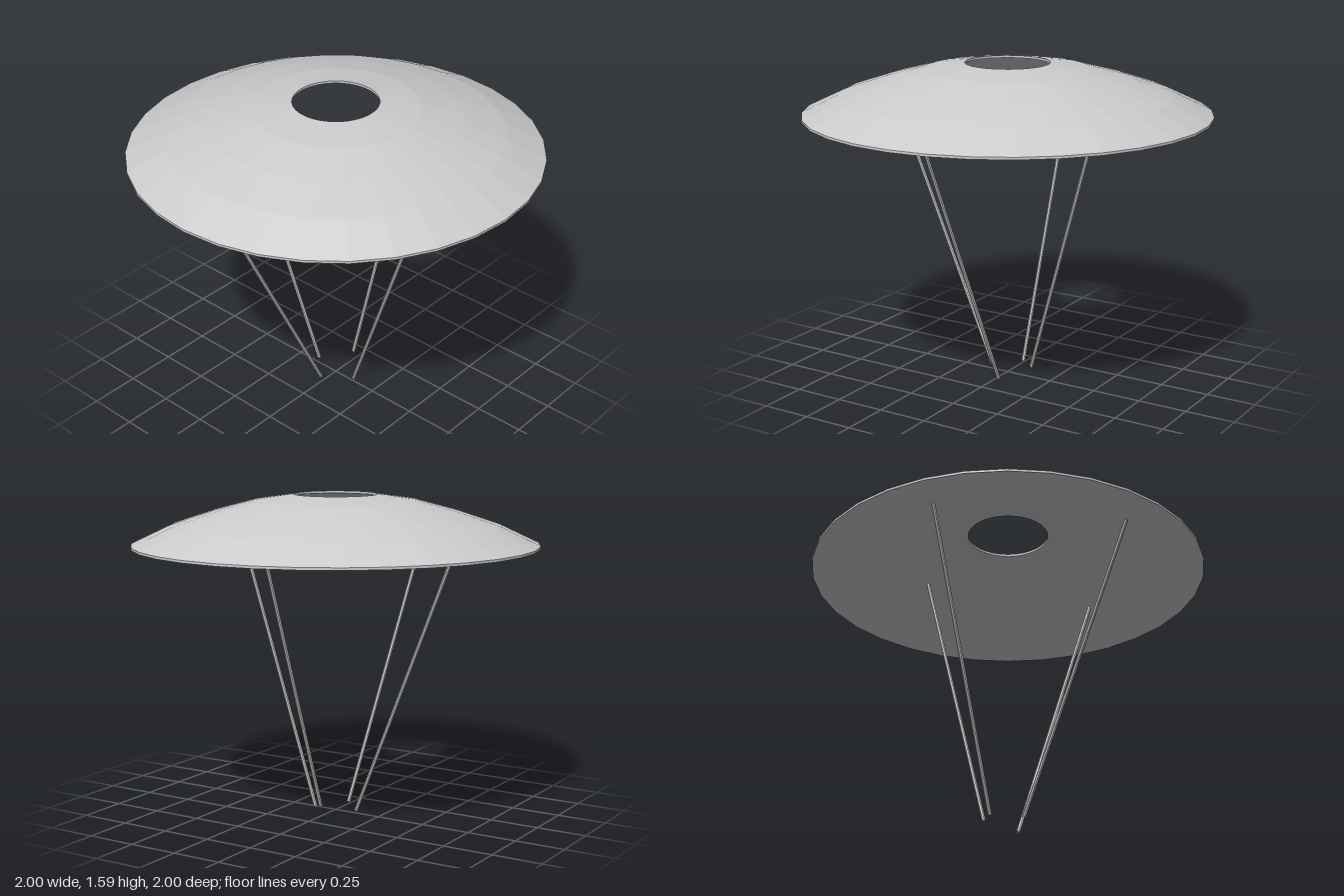
import * as THREE from 'three';

const V = (x, y, z) => new THREE.Vector3(x, y, z);

export function createModel() {
  const model = new THREE.Group();
  const material = new THREE.MeshStandardMaterial({ color: 0xcccccc, flatShading: true });

  // Shallow dome with a central vent: rings on the outside, the same rings lowered on the inside
  const rings = [[1, 1.355], [0.81, 1.445], [0.61, 1.512], [0.405, 1.567], [0.207, 1.596]];
  const thickness = 0.012;
  const outer = rings.map(([r, y]) => new THREE.Vector2(r, y));
  const inner = rings.map(([r, y]) => new THREE.Vector2(r, y - thickness)).reverse();
  const profile = [...outer, ...inner, outer[0].clone()];
  const canopy = new THREE.Mesh(new THREE.LatheGeometry(profile, 32), material);
  canopy.name = 'canopy';
  model.add(canopy);

  // Four thin rods of equal length: [name, lower end, direction]
  const length = 1.52;
  const rods = [
    ['frontRod', V(-0.015, 0.02, 0.1), V(-0.075, 1.325, 0.63)],
    ['backRod', V(0, 0.055, -0.14), V(0.065, 1.29, -0.38)],
    ['leftRod', V(0.11, 0.005, -0.015), V(0.51, 1.335, 0.105)],
    ['rightRod', V(-0.13, 0.02, -0.015), V(-0.515, 1.325, 0.035)],
  ];
  const rodGeometry = new THREE.CylinderGeometry(0.01, 0.01, length, 8).translate(0, length / 2, 0);
  for (const [name, start, direction] of rods) {
    const rod = new THREE.Mesh(rodGeometry, material);
    rod.name = name;
    rod.position.copy(start);
    rod.quaternion.setFromUnitVectors(V(0, 1, 0), direction.normalize());
    model.add(rod);
  }
  return model;
}
